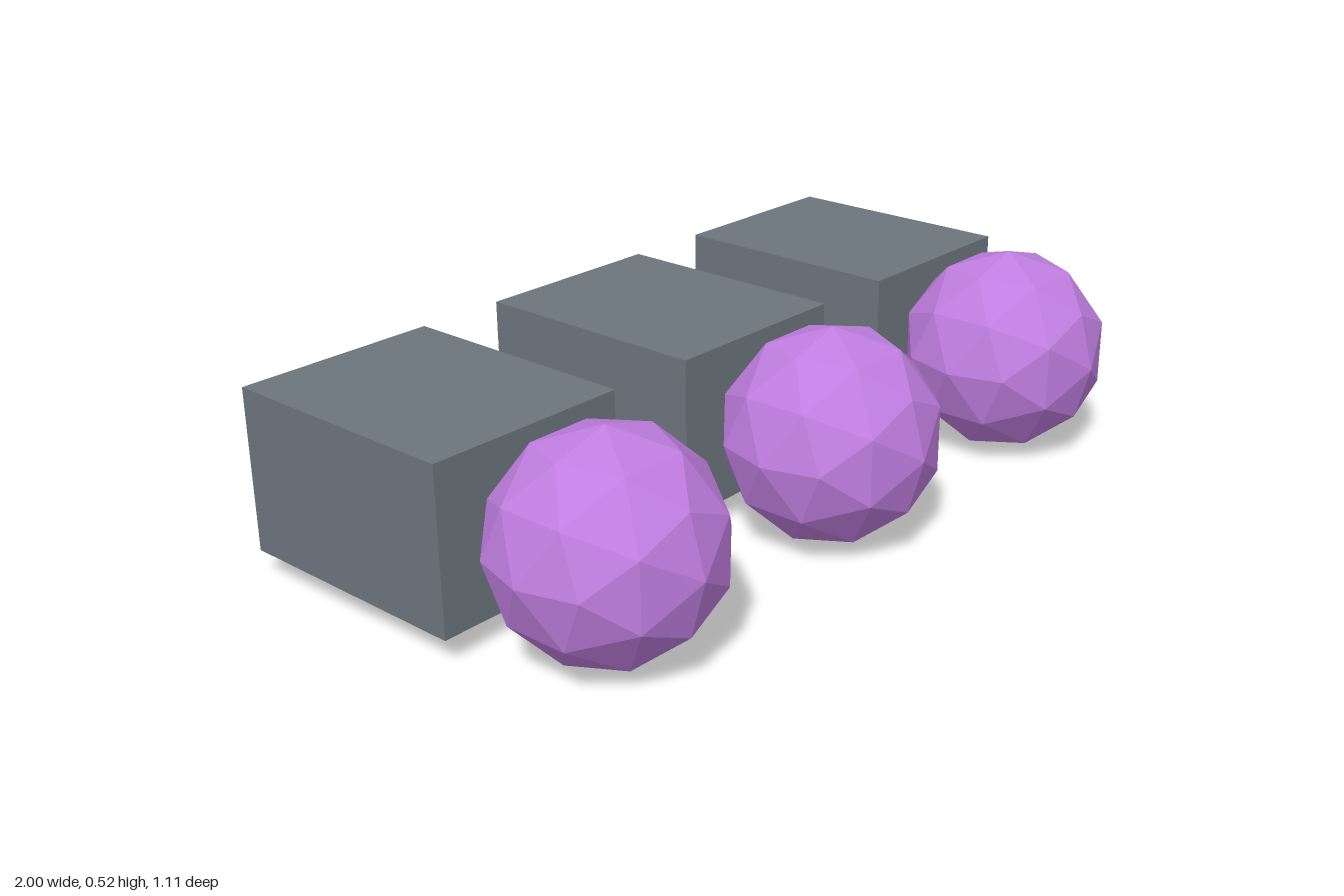
import * as THREE from 'three';

export function createModel() {
  const model = new THREE.Group();

  const radius = 0.261;
  const centreY = 0.261;
  const spacing = 0.739;

  const blockMaterial = new THREE.MeshStandardMaterial({ color: 0x6c757d, flatShading: true });
  const ballMaterial = new THREE.MeshStandardMaterial({ color: 0xc07ee0, flatShading: true });
  const blockGeometry = new THREE.BoxGeometry(0.51, 0.394, 0.624);
  const ballGeometry = new THREE.IcosahedronGeometry(radius, 1);

  // Three identical units in a row: a block with a faceted ball at its front
  ['right', 'middle', 'left'].forEach((side, i) => {
    const unit = new THREE.Group();
    unit.name = `${side}Unit`;
    unit.position.set((i - 1) * spacing, centreY, 0);

    const block = new THREE.Mesh(blockGeometry, blockMaterial);
    block.name = `${side}Block`;
    block.position.z = -0.241;

    const ball = new THREE.Mesh(ballGeometry, ballMaterial);
    ball.name = `${side}Ball`;
    ball.position.z = 0.292;

    unit.add(block, ball);
    model.add(unit);
  });

  return model;
}
